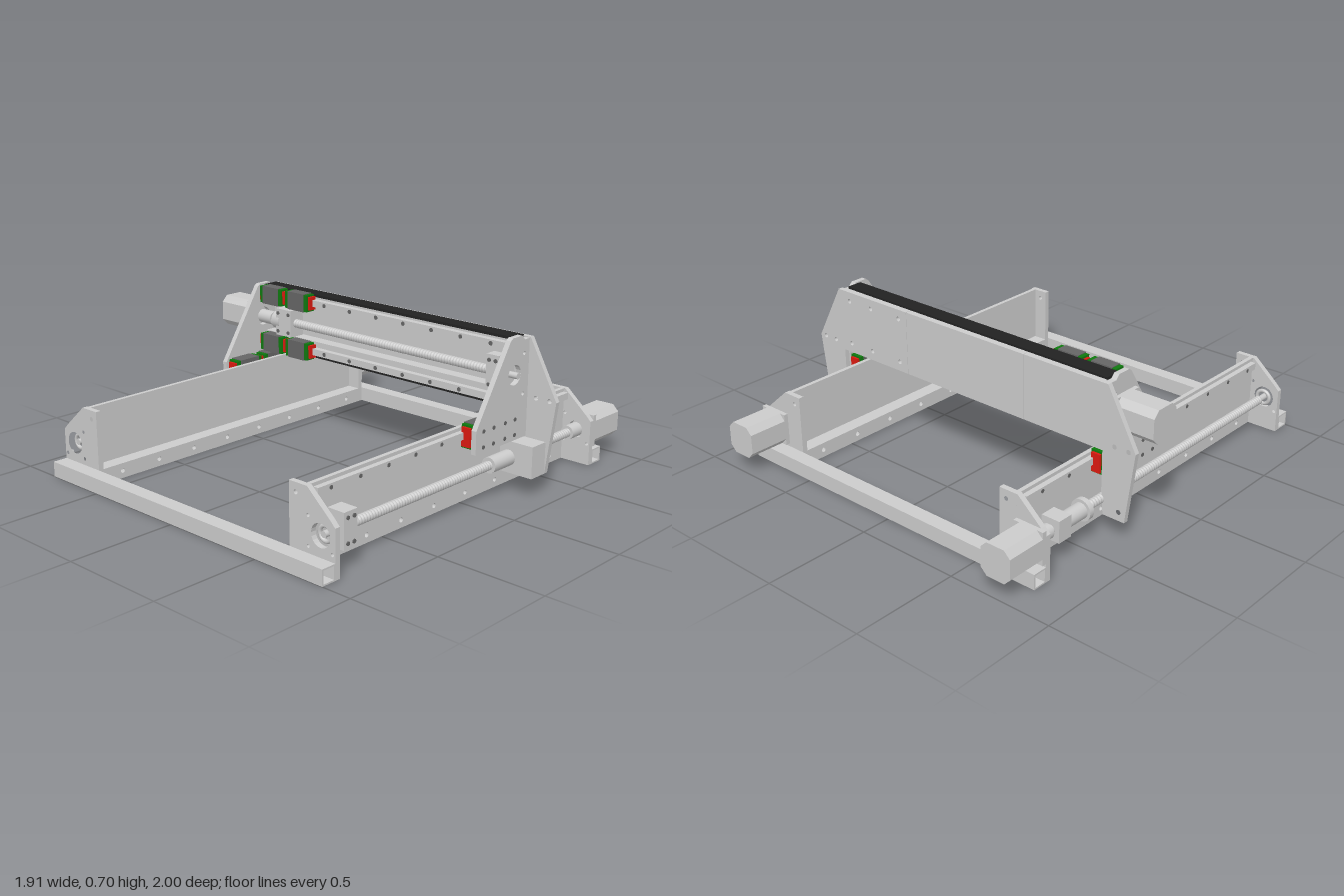
import * as THREE from 'three';

const mat = (color) => new THREE.MeshStandardMaterial({ color });
const GREY = mat(0xcccccc), DARK = mat(0x666666), BLACK = mat(0x222222), RED = mat(0xdd1a10), GREEN = mat(0x0f7a0f);
const CX = 0.025; // symmetry plane of the frame
const mirrorX = (x) => 2 * CX - x;

function add(parent, name, geo, m = GREY) {
  const mesh = new THREE.Mesh(geo, m);
  mesh.name = name;
  parent.add(mesh);
  return mesh;
}

// box given by its limits
function box(parent, name, x0, x1, y0, y1, z0, z1, m) {
  const g = new THREE.BoxGeometry(Math.abs(x1 - x0), y1 - y0, z1 - z0);
  g.translate((x0 + x1) / 2, (y0 + y1) / 2, (z0 + z1) / 2);
  return add(parent, name, g, m);
}

// cylinder along 'x' or 'z' from a to b; p, q are the other two coordinates
function rod(parent, name, axis, a, b, p, q, r, m, sides = 24) {
  const g = new THREE.CylinderGeometry(r, r, b - a, sides);
  orient(g, axis, (a + b) / 2, p, q);
  return add(parent, name, g, m);
}

function orient(g, axis, mid, p, q) {
  if (axis === 'x') g.rotateZ(-Math.PI / 2).translate(mid, p, q);
  else g.rotateX(Math.PI / 2).translate(p, q, mid);
}

// threaded spindle: lathe with saw-tooth profile
function screw(parent, name, axis, a, b, p, q) {
  const pts = [], n = Math.round((b - a) / 0.016), L = b - a;
  pts.push(new THREE.Vector2(0, -L / 2));
  for (let i = 0; i < n; i++)
    for (const [t, r] of [[0, 0.016], [0.25, 0.021], [0.75, 0.021], [1, 0.016]])
      pts.push(new THREE.Vector2(r, -L / 2 + ((i + t) * L) / n));
  pts.push(new THREE.Vector2(0, L / 2));
  const g = new THREE.LatheGeometry(pts, 14);
  orient(g, axis, 0.5 * (a + b), p, q);
  return add(parent, name, g);
}

function shapeOf(points, holes = []) {
  const s = new THREE.Shape(points.map(([u, v]) => new THREE.Vector2(u, v)));
  for (const [u, v, r] of holes) s.holes.push(new THREE.Path().absarc(u, v, r, 0, Math.PI * 2, true));
  return s;
}

// plate facing z, outline in (x, y)
function plateZ(parent, name, shape, z0, z1, m) {
  const g = new THREE.ExtrudeGeometry(shape, { depth: z1 - z0, bevelEnabled: false, curveSegments: 10 });
  return add(parent, name, g.translate(0, 0, z0), m);
}

// plate facing x, outline in (z, y)
function plateX(parent, name, shape, x0, x1, m) {
  const g = new THREE.ExtrudeGeometry(shape, { depth: x1 - x0, bevelEnabled: false, curveSegments: 10 });
  return add(parent, name, g.rotateY(-Math.PI / 2).translate(x1, 0, 0), m);
}

const rect = (a, b, c, d) => [[a, c], [b, c], [b, d], [a, d]];

// square stepper motor with chamfered corners
function motor(parent, name, axis, a, b, u, v) {
  const h = 0.075, c = 0.045;
  const s = shapeOf([[c, -h], [h, -c], [h, c], [c, h], [-c, h], [-h, c], [-h, -c], [-c, -h]].map(([i, j]) => [u + i, v + j]));
  const sq = shapeOf(rect(u - h, u + h, v - h, v + h));
  const plate = axis === 'x' ? plateX : plateZ;
  plate(parent, name, s, a, b - 0.02);
  plate(parent, name + 'Flange', sq, b - 0.02, b);
}

// linear bearing carriage: body, end caps and wipers along an axis
function carriage(parent, axis, start, len, lo, hi) {
  const g = new THREE.Group();
  g.name = 'carriage';
  parent.add(g);
  const bits = [['wiper', 0, 0.012, RED, 0.012], ['endCap', 0.012, 0.032, GREEN, 0.003], ['body', 0.032, len - 0.032, DARK, 0],
    ['endCap', len - 0.032, len - 0.012, GREEN, 0.003], ['wiper', len - 0.012, len, RED, 0.012]];
  for (const [n, a, b, m, i] of bits) {
    if (axis === 'x') box(g, n, start + a, start + b, lo[0] + i, hi[0] - i, lo[1], hi[1] - i, m);
    else box(g, n, lo[0] + i, hi[0] - i, lo[1] + i, hi[1] - i, start + a, start + b, m);
  }
}

export function createModel() {
  const root = new THREE.Group();
  root.name = 'gantryRouter';

  // hollow cross bars, front and back
  for (const z0 of [0.93, -0.86]) {
    const s = shapeOf(rect(z0, z0 + 0.07, 0, 0.07));
    s.holes.push(shapeOf(rect(z0 + 0.007, z0 + 0.063, 0.007, 0.063).reverse()));
    plateX(root, 'crossBar', s, -0.81, 0.86);
  }

  // the two long sides
  const boltZ = Array.from({ length: 8 }, (_, i) => 0.8 - i * 0.21);
  const holes = boltZ.map((z) => [z, 0.035, 0.011]);
  for (const left of [true, false]) {
    const X = (x) => (left ? x : mirrorX(x));
    const span = (a, b) => [Math.min(X(a), X(b)), Math.max(X(a), X(b))];
    const side = new THREE.Group();
    side.name = left ? 'leftSide' : 'rightSide';
    root.add(side);

    // web, lower tube and guide rail
    plateX(side, 'sideWall', shapeOf(rect(-0.79, 0.92, 0, 0.34), holes), ...span(0.69, 0.71));
    plateX(side, 'tubeInnerWall', shapeOf(rect(-0.79, 0.92, 0, 0.07), holes), ...span(0.62, 0.628));
    for (const y of [0, 0.062]) box(side, 'tubeFlange', ...span(0.628, 0.69), y, y + 0.008, -0.79, 0.92);
    box(side, 'guideRail', ...span(0.71, 0.735), 0.293, 0.325, -0.76, 0.89);
    for (let i = 0; i < 10; i++) {
      const [a, b] = span(0.734, 0.737);
      rod(side, 'railBolt', 'x', a, b, 0.309, 0.82 - i * 0.165, 0.009, DARK, 10);
    }

    // end plates with chamfered outer corner
    for (const [z0, z1, r] of [[0.905, 0.93, 0.05], [-0.79, -0.765, 0.04]]) {
      const pts = [[0.62, 0], [0.86, 0], [0.86, 0.21], [0.835, 0.235], [0.715, 0.34], [0.62, 0.34]].map(([x, y]) => [X(x), y]);
      const h = [[0.785, 0.16, r], [0.655, 0.3, 0.01], [0.655, 0.02, 0.009], [0.655, 0.055, 0.009], [0.72, 0.1, 0.008], [0.72, 0.225, 0.008], [0.845, 0.1, 0.008]];
      plateZ(side, 'endPlate', shapeOf(pts, h.map(([x, y, q]) => [X(x), y, q])), z0, z1);
    }

    // drive: motor, coupling, spindle, end bearing
    const sx = X(0.785);
    motor(side, 'sideMotor', 'z', -1, -0.79, sx, 0.16);
    rod(side, 'coupling', 'z', -0.765, -0.69, sx, 0.16, 0.033);
    rod(side, 'motorShaft', 'z', -0.8, -0.69, sx, 0.16, 0.014);
    screw(side, 'spindle', 'z', -0.7, 0.86, sx, 0.16);
    rod(side, 'spindleEnd', 'z', 0.85, 0.915, sx, 0.16, 0.014);
    const ring = new THREE.TorusGeometry(0.032, 0.009, 8, 24).translate(sx, 0.16, 0.9);
    add(side, 'bearingRing', ring);

    // carriages on the side rail
    for (const z of [-0.345, -0.165]) {
      const [a, b] = span(0.712, 0.78);
      carriage(side, 'z', z, 0.18, [a, 0.25], [b, 0.36]);
    }

    // gantry cheek plate
    const cheek = [[-0.335, 0.24], [0.02, 0.24], [0.02, 0.345], [-0.2, 0.69], [-0.215, 0.7], [-0.28, 0.7], [-0.3, 0.68], [-0.335, 0.68]];
    plateX(side, 'cheekPlate', shapeOf(cheek, [[-0.235, 0.535, 0.045], [-0.3, 0.62, 0.009], [-0.3, 0.44, 0.009]]), ...span(0.78, 0.805));
    for (const z of [-0.25, -0.18, -0.1, -0.03]) for (const y of [0.265, 0.335])
      rod(side, 'cheekBolt', 'x', ...span(0.804, 0.808), y, z, 0.009, DARK, 10);

    // back plate with hanging ear
    const ear = [[0.37, 0.385], [0.79, 0.385], [0.79, 0.2], [0.8, 0.09], [0.91, 0.09], [0.955, 0.42], [0.81, 0.685], [0.37, 0.685]];
    const earHoles = [[0.85, 0.42], [0.92, 0.42], [0.88, 0.13], [0.6, 0.64], [0.6, 0.43], [0.42, 0.64], [0.42, 0.43], [0.74, 0.64], [0.74, 0.43]];
    plateZ(side, 'backPlate', shapeOf(ear.map(([x, y]) => [X(x), y]), earHoles.map(([x, y]) => [X(x), y, 0.011])), -0.358, -0.335);
  }

  // spindle nuts: one carried by the gantry, one parked near the back
  rod(root, 'leftNut', 'z', -0.25, -0.1, 0.785, 0.16, 0.036);
  box(root, 'leftNutHousing', 0.74, 0.91, 0.09, 0.235, -0.335, -0.24);
  rod(root, 'rightNut', 'z', -0.6, -0.46, -0.735, 0.16, 0.036);
  rod(root, 'rightNutFlange', 'z', -0.485, -0.46, -0.735, 0.16, 0.05);
  box(root, 'rightNutHousing', -0.78, -0.69, 0.11, 0.21, -0.675, -0.6);
  box(root, 'endBearingBlock', 0.745, 0.83, 0.085, 0.24, 0.775, 0.85);
  for (const y of [0.11, 0.215]) for (const z of [0.795, 0.83]) rod(root, 'blockBolt', 'x', 0.829, 0.834, y, z, 0.009, DARK, 10);

  // gantry beam
  const beam = new THREE.Group();
  beam.name = 'gantryBeam';
  root.add(beam);
  box(beam, 'backPanel', -0.318, 0.368, 0.385, 0.685, -0.358, -0.335);
  box(beam, 'beamWeb', -0.73, 0.78, 0.44, 0.63, -0.335, -0.315);
  for (const [y0, railY, edgeY] of [[0.61, 0.655, 0.682], [0.385, 0.415, 0.38]]) {
    box(beam, 'beamProfile', -0.73, 0.78, y0, y0 + 0.074, -0.335, -0.255);
    box(beam, 'beamCover', -0.73, 0.78, edgeY, edgeY + 0.012, -0.325, -0.25, BLACK);
    box(beam, 'beamRail', -0.72, 0.78, railY - 0.016, railY + 0.016, -0.255, -0.225);
    for (let i = 0; i < 9; i++) rod(beam, 'railBolt', 'z', -0.227, -0.223, -0.63 + i * 0.164, railY, 0.01, DARK, 10);
    for (const x of [-0.725, -0.55]) carriage(beam, 'x', x, 0.17, [railY - 0.044, -0.248], [railY + 0.044, -0.195]);
  }

  // cross drive
  motor(beam, 'crossMotor', 'x', -0.96, -0.755, -0.245, 0.535);
  rod(beam, 'crossCoupling', 'x', -0.735, -0.65, 0.535, -0.235, 0.033);
  rod(beam, 'crossShaft', 'x', -0.77, -0.6, 0.535, -0.235, 0.014);
  screw(beam, 'crossSpindle', 'x', -0.65, 0.69, 0.535, -0.235);
  rod(beam, 'crossNut', 'x', -0.63, -0.58, 0.535, -0.235, 0.045);
  box(beam, 'crossNutBlock', -0.6, -0.5, 0.47, 0.602, -0.28, -0.195);
  for (const x of [-0.585, -0.515]) for (const y of [0.49, 0.58]) rod(beam, 'blockBolt', 'z', -0.196, -0.191, x, y, 0.009, DARK, 10);
  box(beam, 'crossBearingBlock', 0.68, 0.745, 0.455, 0.615, -0.315, -0.2);
  for (const x of [0.696, 0.73]) for (const y of [0.48, 0.59]) rod(beam, 'blockBolt', 'z', -0.201, -0.196, x, y, 0.009, DARK, 10);
  rod(beam, 'crossSpindleEnd', 'x', 0.74, 0.825, 0.535, -0.235, 0.014);
  rod(beam, 'crossBearing', 'x', 0.745, 0.775, 0.535, -0.235, 0.04);

  return root;
}
